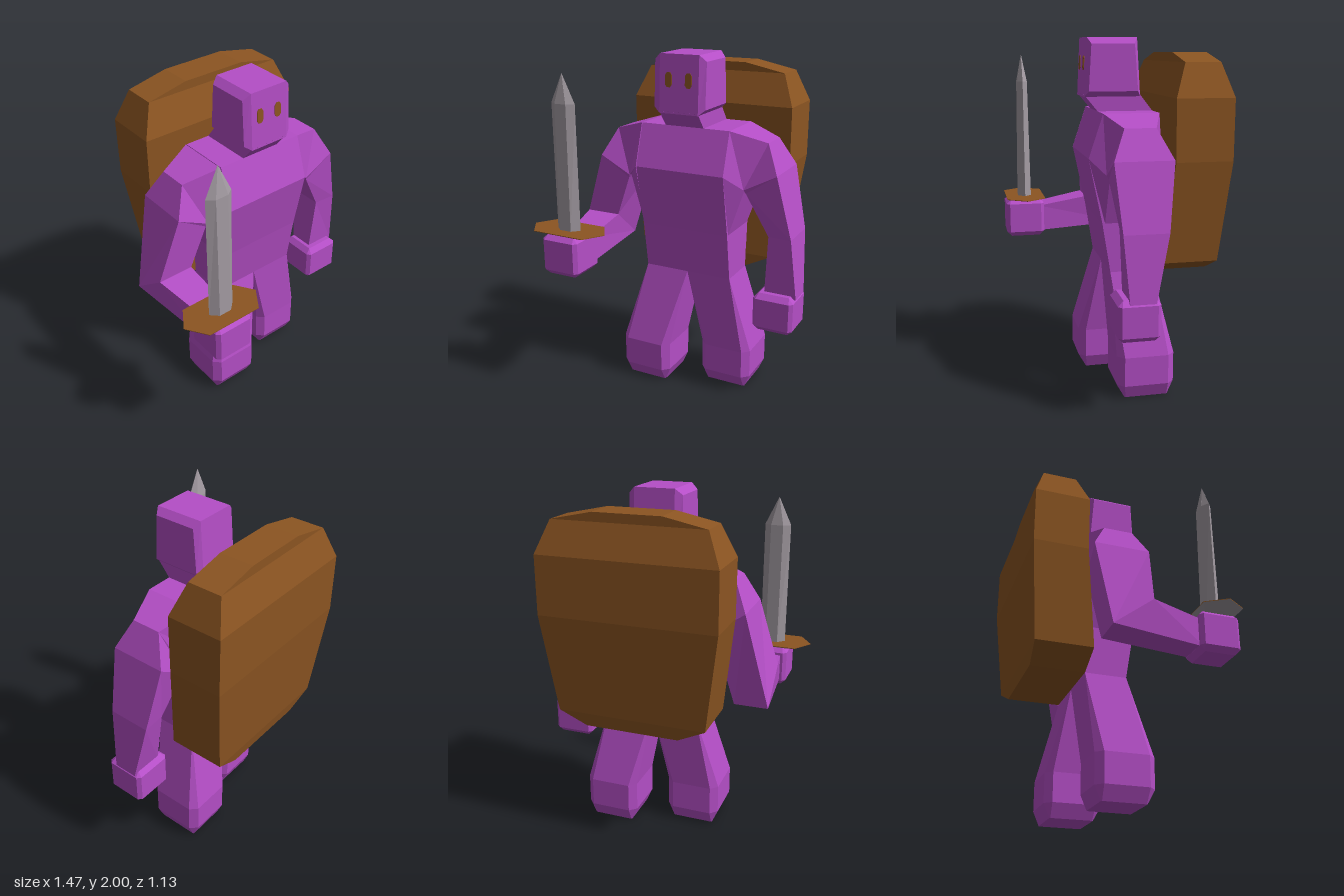
import * as THREE from 'three';

const purple = new THREE.MeshStandardMaterial({ color: 0xb44ec6 });
purple.name = 'purple body';
const brown = new THREE.MeshStandardMaterial({ color: 0x8c5522 });
brown.name = 'brown leather';
const steel = new THREE.MeshStandardMaterial({ color: 0xa39ba2 });
steel.name = 'grey steel';

const MID = 0.058; // body's plane of symmetry
const mirrorX = (sections) => sections.map((s) => s.map(([x, y, z]) => [2 * MID - x, y, z]));

// Faceted solid skinned over matching rings of points, with both ends capped.
function loft(name, material, sections) {
  const tris = [];
  const n = sections[0].length;
  for (let i = 0; i < sections.length - 1; i++) {
    const a = sections[i], b = sections[i + 1];
    for (let j = 0; j < n; j++) {
      const k = (j + 1) % n;
      tris.push([a[j], a[k], b[k]], [a[j], b[k], b[j]]);
    }
  }
  const first = sections[0], last = sections[sections.length - 1];
  for (let j = 1; j < n - 1; j++) {
    tris.push([first[0], first[j + 1], first[j]], [last[0], last[j], last[j + 1]]);
  }
  // The signed volume tells whether the faces point outwards.
  let volume = 0;
  const solid = tris.map((t) => t.map((p) => new THREE.Vector3(...p))).filter(([a, b, c]) =>
    b.clone().sub(a).cross(c.clone().sub(a)).length() > 1e-7);
  for (const [a, b, c] of solid) volume += a.dot(b.clone().cross(c));
  const points = solid.flatMap(([a, b, c]) => (volume < 0 ? [a, c, b] : [a, b, c]));
  const geometry = new THREE.BufferGeometry().setFromPoints(points);
  geometry.computeVertexNormals();
  const mesh = new THREE.Mesh(geometry, material);
  mesh.name = name;
  return mesh;
}

// Level rectangle, and the same with cut corners.
const rect = (y, x0, x1, z0, z1) => [[x0, y, z0], [x1, y, z0], [x1, y, z1], [x0, y, z1]];
const octagon = (y, x0, x1, z0, z1, c) => [
  [x0 + c, y, z0], [x1 - c, y, z0], [x1, y, z0 + c], [x1, y, z1 - c],
  [x1 - c, y, z1], [x0 + c, y, z1], [x0, y, z1 - c], [x0, y, z0 + c],
];
// Level hexagon pointed along x.
const hexagon = (y, cx, cz, halfX, flatX, halfZ) => [
  [cx - halfX, y, cz], [cx - flatX, y, cz + halfZ], [cx + flatX, y, cz + halfZ],
  [cx + halfX, y, cz], [cx + flatX, y, cz - halfZ], [cx - flatX, y, cz - halfZ],
];

// Block with cut corners for a fist
const fist = (name, x0, x1, y0, y1, z0, z1) => {
  const c = 0.03;
  return loft(name, purple, [
    octagon(y0, x0 + c, x1 - c, z0 + c, z1 - c, 0),
    octagon(y0 + c, x0, x1, z0, z1, 0.02),
    octagon(y1 - c, x0, x1, z0, z1, 0.02),
    octagon(y1, x0 + c, x1 - c, z0 + c, z1 - c, 0),
  ]);
};

// Shoulder joining the torso side to the upper arm (left side)
const shoulder = [
  [[0.33, 1.6, 0.09], [0.33, 1.36, 0.17], [0.33, 1.0, 0.08],
    [0.33, 1.0, -0.2], [0.33, 1.36, -0.235], [0.33, 1.6, -0.22]],
  [[0.53, 1.54, 0.02], [0.42, 1.28, 0.09], [0.42, 1.28, 0.07],
    [0.42, 1.28, -0.21], [0.42, 1.28, -0.23], [0.53, 1.54, -0.15]],
];
// Upper arm rings: outer front, outer back, inner back, inner front
const upperArm = [
  [[0.53, 1.54, 0.02], [0.53, 1.54, -0.15], [0.42, 1.28, -0.23], [0.42, 1.28, 0.09]],
  [[0.61, 1.38, 0.09], [0.61, 1.38, -0.23], [0.43, 1.26, -0.22], [0.43, 1.26, 0.08]],
];

// One leg from hip to foot, shifted along z for the stride
function leg(name, x0, x1, hip0, hip1, z0, z1) {
  return loft(name, purple, [
    octagon(0, x0 + 0.035, x1 - 0.035, z0 + 0.035, z1 - 0.045, 0.005),
    octagon(0.08, x0, x1, z0, z1, 0.04),
    octagon(0.25, x0, x1, z0, z1, 0.04),
    octagon(0.72, hip0, hip1, -0.19, 0.05, 0),
  ]);
}

export function createModel() {
  const model = new THREE.Group();
  model.name = 'swordsman';

  // Torso, neck and head
  model.add(loft('torso', purple, [
    rect(0.72, -0.21, 0.33, -0.19, 0.05),
    rect(1.0, -0.21, 0.33, -0.205, 0.095),
    rect(1.36, -0.21, 0.33, -0.235, 0.17),
    rect(1.6, -0.21, 0.33, -0.22, 0.09),
  ]));
  model.add(loft('neck', purple, [
    rect(1.6, -0.06, 0.175, -0.22, 0.09),
    rect(1.69, -0.06, 0.175, -0.15, 0.165),
  ]));
  const side = (x, lo, hi, c) =>
    [[x, lo, 0.165 - c], [x, hi, 0.15 - c], [x, hi, -0.13 + c], [x, lo, -0.15 + c]];
  model.add(loft('head', purple, [
    side(-0.1, 1.71, 1.965, 0.02), side(-0.06, 1.68, 2, 0),
    side(0.175, 1.68, 2, 0), side(0.21, 1.71, 1.965, 0.02),
  ]));

  // Thin eye plates lying on the sloping face
  for (const x of [-0.005, 0.115]) {
    const shape = new THREE.Shape([
      [-0.01, -0.04], [0.01, -0.04], [0.02, -0.025], [0.02, 0.025],
      [0.01, 0.04], [-0.01, 0.04], [-0.02, 0.025], [-0.02, -0.025],
    ].map((p) => new THREE.Vector2(...p)));
    const eye = new THREE.Mesh(
      new THREE.ExtrudeGeometry(shape, { depth: 0.006, bevelEnabled: false }), brown);
    eye.position.set(x, 1.862, 0.154);
    eye.rotation.x = -0.047;
    eye.name = 'eye';
    model.add(eye);
  }

  // Legs in a slight stride
  model.add(leg('rightLeg', -0.335, -0.02, -0.21, 0.058, -0.16, 0.17));
  model.add(leg('leftLeg', 0.135, 0.45, 0.058, 0.33, -0.3, 0.03));

  // Left arm hanging down
  model.add(loft('leftShoulder', purple, shoulder));
  model.add(loft('leftArm', purple, [
    ...upperArm,
    [[0.695, 1.02, 0.06], [0.695, 1.02, -0.185], [0.56, 1.02, -0.175], [0.56, 1.02, 0.05]],
    [[0.73, 0.66, 0.03], [0.73, 0.66, -0.11], [0.54, 0.66, -0.11], [0.54, 0.66, 0.03]],
  ]));
  model.add(fist('leftHand', 0.49, 0.73, 0.45, 0.68, -0.14, 0.09));

  // Right arm bent forwards
  model.add(loft('rightShoulder', purple, mirrorX(shoulder)));
  model.add(loft('rightArm', purple, [
    ...mirrorX(upperArm),
    [[-0.62, 1.01, 0.06], [-0.625, 0.83, -0.17], [-0.43, 0.83, -0.17], [-0.41, 1.01, 0.06]],
    [[-0.57, 0.96, 0.36], [-0.57, 0.8, 0.36], [-0.41, 0.8, 0.36], [-0.41, 0.96, 0.36]],
  ]));
  model.add(fist('rightHand', -0.61, -0.38, 0.77, 1.01, 0.33, 0.565));

  // Backpack: height, half width, back and front
  model.add(loft('backpack', brown, [
    [0.72, 0.27, -0.5, -0.19], [0.8, 0.43, -0.515, -0.19],
    [1.36, 0.505, -0.562, -0.25], [1.69, 0.505, -0.562, -0.245],
    [1.87, 0.43, -0.505, -0.31], [1.92, 0.19, -0.505, -0.31],
  ].map(([y, w, z0, z1]) => rect(y, MID - w, MID + w, z0, z1))));

  // Sword with a brown-topped guard
  const sword = new THREE.Group();
  sword.name = 'sword';
  const hex = (y, ...size) => hexagon(y, -0.498, 0.445, ...size);
  sword.add(loft('blade', steel, [
    hex(1.015, 0.077, 0.036, 0.04), hex(1.74, 0.077, 0.036, 0.03), hex(1.9, 0.001, 0.0005, 0.001),
  ]));
  sword.add(loft('guardUnderside', steel, [
    hex(1.0, 0.13, 0.09, 0.075), hex(1.018, 0.237, 0.16, 0.118),
  ]));
  sword.add(loft('guardTop', brown, [
    hex(1.018, 0.237, 0.16, 0.118), hex(1.022, 0.237, 0.16, 0.118),
  ]));
  model.add(sword);

  return model;
}
